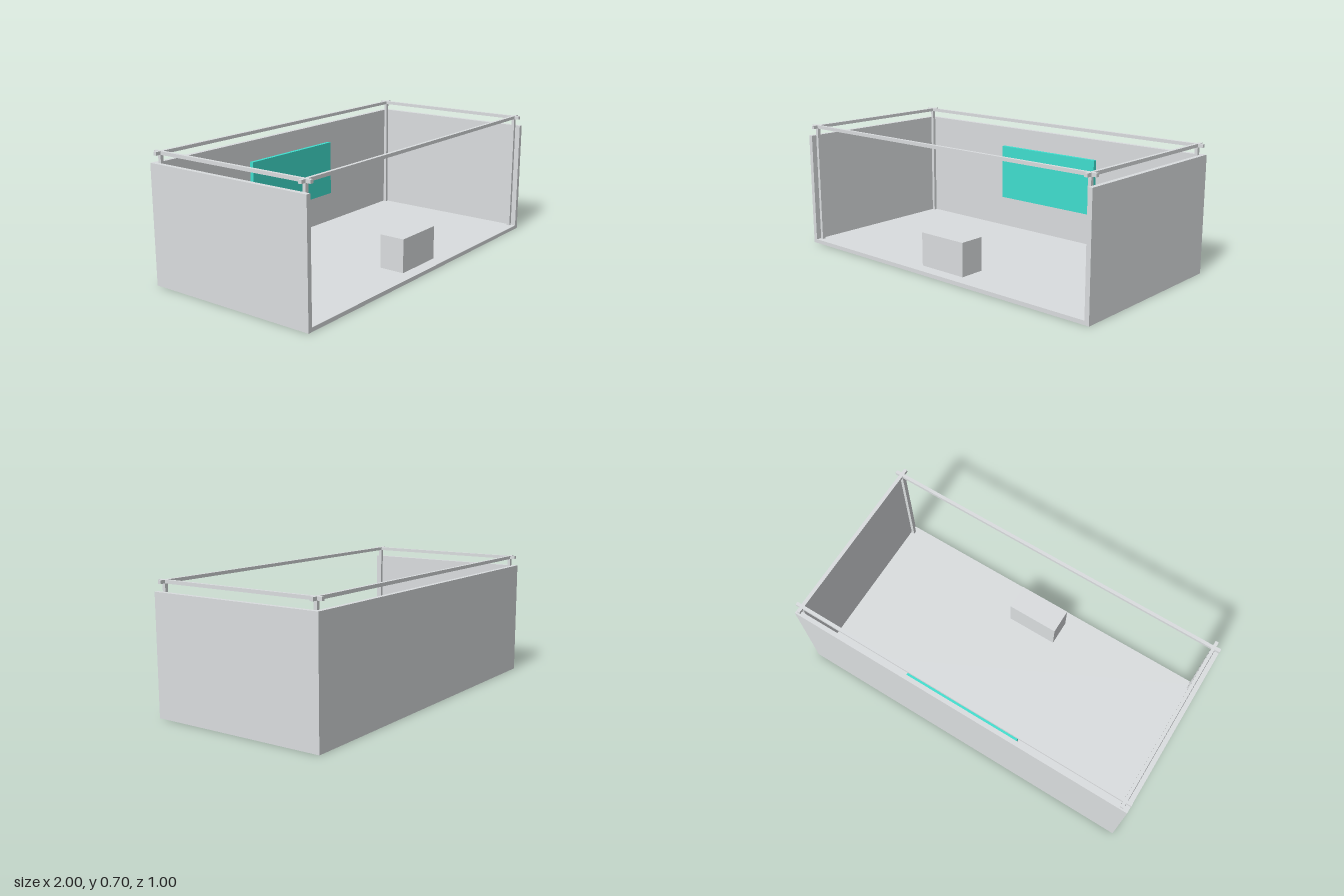
import * as THREE from 'three';

export function createModel() {
  const group = new THREE.Group();
  const grey = new THREE.MeshStandardMaterial({ name: 'light grey', color: 0xdbdee0 });
  const teal = new THREE.MeshStandardMaterial({ name: 'turquoise', color: 0x40e0d0 });

  // Box given by its minimum and maximum corners
  function box(name, min, max, material = grey) {
    const size = max.map((v, i) => v - min[i]);
    const mesh = new THREE.Mesh(new THREE.BoxGeometry(...size), material);
    mesh.position.set(...max.map((v, i) => (v + min[i]) / 2));
    mesh.name = name;
    group.add(mesh);
  }

  const floorTop = 0.022, wall = 0.025, wallTop = 0.641;
  const railBottom = 0.682, railTop = 0.7, half = 0.009;
  const postX = 0.963, postZ = 0.463;

  // Open-fronted booth shell
  box('floor', [-1, 0, -0.5], [1, floorTop, 0.5]);
  box('backWall', [-1 + wall, floorTop, -0.5], [1 - wall, wallTop, -0.5 + wall]);
  box('leftWall', [1 - wall, floorTop, -0.5], [1, wallTop, 0.5]);
  box('rightWall', [-1, floorTop, -0.5], [-1 + wall, wallTop, 0.5]);

  // Corner posts
  for (const sx of [-1, 1]) for (const sz of [-1, 1]) {
    const x = sx * postX, z = sz * postZ;
    box('cornerPost', [x - half, floorTop, z - half], [x + half, railBottom, z + half]);
  }

  // Overhead rails crossing at the corners
  for (const s of [-1, 1]) {
    const x = s * postX, z = s * postZ;
    box('longRail', [-1, railBottom, z - half], [1, railTop, z + half]);
    box('sideRail', [x - half, railBottom, -0.5], [x + half, railTop, 0.5]);
  }

  // Screen by the back wall and counter near the front
  box('screen', [-0.34, 0.212, -0.459], [0.34, 0.53, -0.437], teal);
  box('counter', [-0.148, floorTop, 0.286], [0.148, 0.207, 0.43]);

  return group;
}
